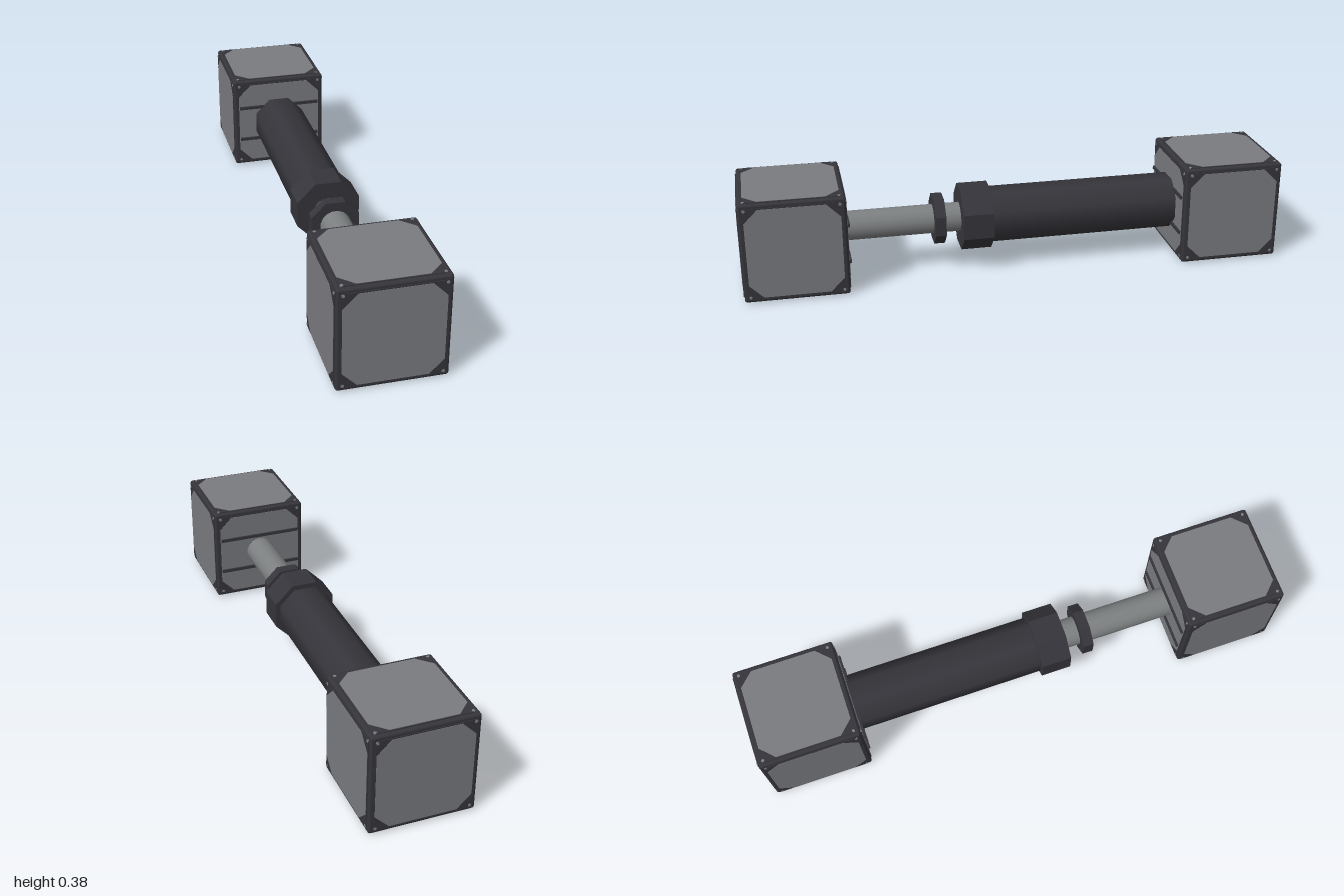
import * as THREE from 'three';
import { RoundedBoxGeometry } from 'three/addons/geometries/RoundedBoxGeometry.js';

const CY = 0.1925;   // height of the long axis
const HALF = 0.1905; // half size of a cube, panels included
const CZ = 1 - HALF; // distance of each cube from the middle

export function createModel() {
  const dark = new THREE.MeshStandardMaterial({ name: 'dark metal', color: 0x36353b });
  const grey = new THREE.MeshStandardMaterial({ name: 'grey panel', color: 0x7a7b80 });
  const steel = new THREE.MeshStandardMaterial({ name: 'steel', color: 0x7d8081 });
  const darkFlat = new THREE.MeshStandardMaterial({ name: 'dark faceted metal', color: 0x36353b, flatShading: true });

  const add = (parent, name, geometry, material, x = 0, y = 0, z = 0) => {
    const mesh = new THREE.Mesh(geometry, material);
    mesh.name = name;
    mesh.position.set(x, y, z);
    parent.add(mesh);
    return mesh;
  };

  // Square plate with cut corners, facing +z, its outer side at z = top
  const cutPlate = (h, c, top) => {
    const shape = new THREE.Shape([
      [-h + c, -h], [h - c, -h], [h, -h + c], [h, h - c],
      [h - c, h], [-h + c, h], [-h, h - c], [-h, -h + c],
    ].map(([x, y]) => new THREE.Vector2(x, y)));
    return new THREE.ExtrudeGeometry(shape, { depth: 0.008, bevelEnabled: false }).translate(0, 0, top - 0.008);
  };
  const gussetGeo = cutPlate(0.172, 0.008, HALF - 0.0012);
  const panelGeo = cutPlate(0.168, 0.05, HALF);
  const frameGeo = new RoundedBoxGeometry(0.373, 0.373, 0.373, 2, 0.009);
  const boltGeo = new THREE.CylinderGeometry(0.006, 0.006, 0.006, 6).rotateX(Math.PI / 2);
  const ribGeo = new THREE.BoxGeometry(0.33, 0.012, 0.014);

  // One side of a cube: corner gussets, panel and four bolts
  const makeFace = () => {
    const face = new THREE.Group();
    face.name = 'cubeFace';
    add(face, 'cornerGussets', gussetGeo, dark);
    add(face, 'panel', panelGeo, grey);
    for (const sx of [-1, 1]) for (const sy of [-1, 1])
      add(face, 'bolt', boltGeo, steel, sx * 0.165, sy * 0.165, HALF - 0.003);
    return face;
  };

  // Cube with its outer end facing +z and ribs on its inner end
  const makeCube = (name) => {
    const cube = new THREE.Group();
    cube.name = name;
    add(cube, 'frame', frameGeo, dark);
    for (let i = 0; i < 4; i++) {
      const face = makeFace();
      face.rotation.y = i * Math.PI / 2;
      cube.add(face);
    }
    for (const s of [-1, 1]) {
      const face = makeFace();
      face.rotation.x = s * Math.PI / 2;
      cube.add(face);
      add(cube, 'rib', ribGeo, dark, 0, s * 0.07, -HALF);
    }
    return cube;
  };

  const model = new THREE.Group();
  model.name = 'piston';
  const front = makeCube('frontCube');
  front.position.set(0, CY, CZ);
  const back = makeCube('backCube');
  back.position.set(0, CY, -CZ);
  back.rotation.y = Math.PI;
  model.add(front, back);

  // Round or eight-sided bar along z; r is measured to the flats
  const bar = (name, r, z0, z1, sides, material) => {
    const R = r / Math.cos(Math.PI / sides);
    const geo = new THREE.CylinderGeometry(R, R, z1 - z0, sides)
      .rotateY(Math.PI / sides).rotateX(Math.PI / 2);
    return add(model, name, geo, material, 0, CY, (z0 + z1) / 2);
  };
  bar('sleeve', 0.0965, -0.625, 0.09, 8, dark);
  bar('collar', 0.115, 0.083, 0.196, 8, darkFlat);
  bar('stopRing', 0.087, 0.256, 0.296, 8, darkFlat);
  bar('rod', 0.054, 0.15, 0.625, 16, steel);

  return model;
}
